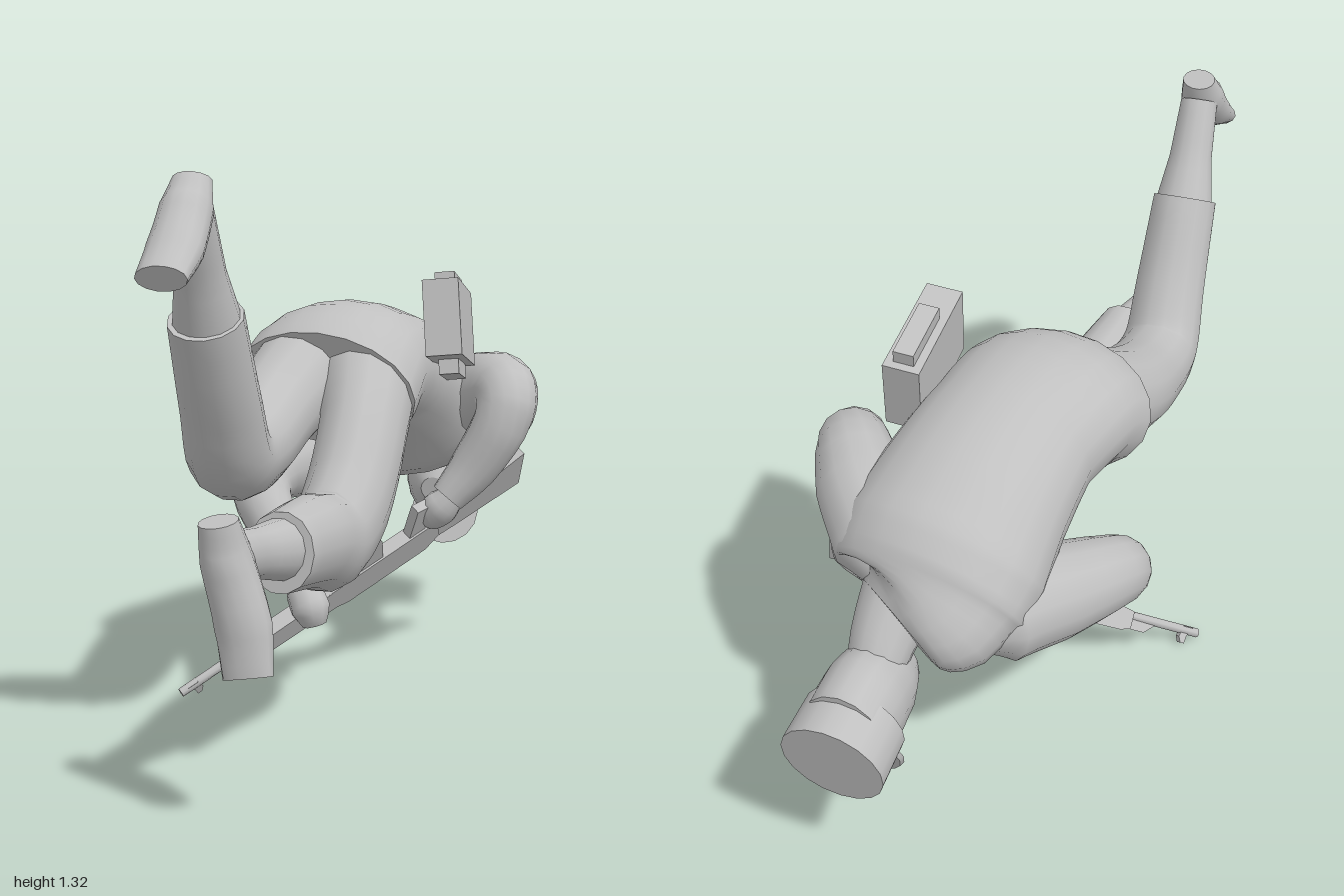
import * as THREE from 'three';

const grey = new THREE.MeshStandardMaterial({ color: 0xc0c0c0 });
grey.name = 'plain grey';

// Lofts elliptical rings along a smooth path; each row is [x, y, z, radiusA, radiusB].
// radiusA is measured along the ref direction, radiusB across it.
function loft(name, rows, ref = [1, 0, 0], sides = 14, steps = 4) {
  const path = new THREE.CatmullRomCurve3(rows.map(r => new THREE.Vector3(r[0], r[1], r[2])));
  const n = (rows.length - 1) * steps;
  const pos = [], index = [];
  const ring = i => {
    const t = i / n, k = Math.min(Math.floor(i / steps), rows.length - 2), f = i / steps - k;
    const p = path.getPoint(t), tan = path.getTangent(t);
    const a = new THREE.Vector3(...ref);
    a.addScaledVector(tan, -a.dot(tan)).normalize();
    const b = new THREE.Vector3().crossVectors(tan, a);
    const rad = r => [r[3], r[4] ?? r[3]];
    const [a0, b0] = rad(rows[k]), [a1, b1] = rad(rows[k + 1]);
    const ra = THREE.MathUtils.lerp(a0, a1, f), rb = THREE.MathUtils.lerp(b0, b1, f);
    for (let j = 0; j < sides; j++) {
      const q = j / sides * Math.PI * 2;
      const v = p.clone().addScaledVector(a, Math.cos(q) * ra).addScaledVector(b, Math.sin(q) * rb);
      pos.push(v.x, v.y, v.z);
    }
    return p;
  };
  for (let i = 0; i <= n; i++) ring(i);
  for (let i = 0; i < n; i++) for (let j = 0; j < sides; j++) {
    const A = i * sides + j, B = i * sides + (j + 1) % sides;
    index.push(A, B, A + sides, B, B + sides, A + sides);
  }
  // flat end caps with their own corners
  for (const i of [0, n]) {
    const s = pos.length / 3, p = ring(i), c = pos.length / 3;
    pos.push(p.x, p.y, p.z);
    for (let j = 0; j < sides; j++) {
      const A = s + j, B = s + (j + 1) % sides;
      if (i) index.push(c, A, B); else index.push(c, B, A);
    }
  }
  const g = new THREE.BufferGeometry();
  g.setAttribute('position', new THREE.Float32BufferAttribute(pos, 3));
  g.setIndex(index);
  g.computeVertexNormals();
  return part(name, g);
}

function part(name, geometry) {
  const m = new THREE.Mesh(geometry, grey);
  m.name = name;
  return m;
}

function box(name, w, h, d, x, y, z) {
  const m = part(name, new THREE.BoxGeometry(w, h, d));
  m.position.set(x, y, z);
  return m;
}

// Flat profile of [along, across] points, extruded about its middle
function plate(name, points, depth) {
  const shape = new THREE.Shape(points.map(p => new THREE.Vector2(...p)));
  const g = new THREE.ExtrudeGeometry(shape, { depth, bevelEnabled: false });
  return part(name, g.translate(0, 0, -depth / 2));
}

function makeRifle() {
  const rifle = new THREE.Group();
  rifle.name = 'rifle';
  const barrel = part('barrel', new THREE.CylinderGeometry(0.012, 0.012, 0.36, 8).rotateZ(Math.PI / 2));
  barrel.position.x = 0.18;
  const magazine = [[0.55, 0], [0.625, 0], [0.637, 0.08], [0.602, 0.17], [0.503, 0.25], [0.474, 0.206], [0.54, 0.14], [0.56, 0.08]];
  rifle.add(
    barrel,
    plate('frontSight', [[0.02, 0.01], [0.05, 0.01], [0.058, -0.02], [0.05, -0.036], [0.038, -0.036], [0.035, -0.015]], 0.016),
    plate('gasTube', [[0.14, -0.01], [0.17, -0.035], [0.34, -0.035], [0.34, -0.005]], 0.018),
    plate('handguard', [[0.22, -0.034], [0.25, -0.042], [0.46, -0.045], [0.46, 0.02], [0.25, 0.018], [0.22, 0.012]], 0.045),
    plate('receiver', [[0.45, -0.045], [0.5, -0.058], [0.75, -0.058], [0.8, -0.035], [0.8, 0.02], [0.45, 0.02]], 0.042),
    plate('magazine', magazine, 0.03),
    plate('pistolGrip', [[0.71, 0.01], [0.76, 0.01], [0.8, 0.09], [0.755, 0.1]], 0.03),
    plate('stock', [[0.78, -0.04], [0.86, -0.045], [1.07, -0.05], [1.1, 0.055], [0.9, 0.03], [0.78, 0.02]], 0.036)
  );
  // lies diagonally under the body, magazine side turned up towards the feet
  const along = new THREE.Vector3(0.712, 0.478, -0.514).normalize();
  const across = new THREE.Vector3(0, 0.73, 0.68);
  across.addScaledVector(along, -across.dot(along)).normalize();
  const m = new THREE.Matrix4().makeBasis(along, across, new THREE.Vector3().crossVectors(along, across));
  rifle.quaternion.setFromRotationMatrix(m);
  rifle.position.set(-0.415, 0.02, 0.13);
  return rifle;
}

function makePouch() {
  const pouch = new THREE.Group();
  pouch.name = 'pouch';
  pouch.add(
    box('pouchBody', 0.09, 0.19, 0.285, 0, 0, 0),
    box('pouchRoll', 0.05, 0.035, 0.165, 0, 0.11, -0.04),
    box('pouchStrap', 0.05, 0.045, 0.15, 0, -0.11, -0.02)
  );
  pouch.position.set(0.21, 0.94, -0.18);
  pouch.rotation.set(-0.22, 0.04, 0.1);
  return pouch;
}

function makeCap() {
  const cap = new THREE.Group();
  cap.name = 'cap';
  const crown = part('capCrown', new THREE.CylinderGeometry(0.122, 0.119, 0.12, 18));
  // peak shades the downward face
  const peak = part('capPeak', new THREE.CylinderGeometry(0.095, 0.1, 0.012, 16));
  peak.position.set(0, -0.06, 0.105);
  peak.rotation.x = 0.2;
  cap.add(crown, peak);
  const up = new THREE.Vector3(0, -0.21, -0.978).normalize();
  const front = new THREE.Vector3(0, -0.978, 0.21).normalize();
  const m = new THREE.Matrix4().makeBasis(new THREE.Vector3().crossVectors(up, front), up, front);
  cap.quaternion.setFromRotationMatrix(m);
  cap.position.set(0.09, 0.407, -0.915);
  return cap;
}

export function createModel() {
  const model = new THREE.Group();
  model.name = 'crouchingSoldier';
  const leftRef = [1, 0, -1], rightRef = [1, 0, 0.5];

  // jacket from hem to collar
  model.add(loft('jacket', [
    [-0.075, 0.785, -0.015, 0.24, 0.165], [-0.06, 0.825, -0.1, 0.235, 0.172], [-0.03, 0.81, -0.24, 0.22, 0.175],
    [-0.005, 0.75, -0.4, 0.235, 0.19], [0.015, 0.675, -0.53, 0.255, 0.2], [0.025, 0.63, -0.6, 0.245, 0.175],
    [0.035, 0.6, -0.65, 0.21, 0.135], [0.06, 0.58, -0.685, 0.13, 0.085]
  ], [1, 0, 0], 20));

  // neck and head, face turned down
  model.add(loft('neck', [[0.07, 0.61, -0.62, 0.1], [0.085, 0.55, -0.69, 0.08], [0.09, 0.48, -0.75, 0.065]]));
  model.add(loft('head', [
    [0.09, 0.42, -0.635, 0.035, 0.035], [0.09, 0.425, -0.67, 0.07, 0.085], [0.09, 0.43, -0.73, 0.092, 0.115],
    [0.09, 0.435, -0.81, 0.102, 0.128], [0.09, 0.425, -0.91, 0.1, 0.12]
  ], [1, 0, 0], 16));
  model.add(makeCap());

  // trousers
  model.add(loft('rightTrouser', [
    [-0.13, 0.84, -0.08, 0.13], [-0.175, 0.745, 0.12, 0.115, 0.115], [-0.18, 0.69, 0.31, 0.105, 0.105],
    [-0.18, 0.695, 0.44, 0.1, 0.1], [-0.17, 0.82, 0.54, 0.092, 0.09], [-0.165, 1.025, 0.655, 0.083, 0.085]
  ]));
  model.add(loft('leftTrouser', [
    [0.02, 0.85, -0.1, 0.13], [0.045, 0.7, 0.08, 0.108, 0.13], [0.04, 0.55, 0.24, 0.105, 0.125],
    [0.025, 0.49, 0.35, 0.1, 0.118], [0.02, 0.52, 0.5, 0.095, 0.105], [0.01, 0.542, 0.715, 0.075, 0.088]
  ]));

  // boots: shafts, then feet from heel to toe
  model.add(loft('rightBootShaft', [[-0.165, 1, 0.64, 0.078], [-0.16, 1.12, 0.705, 0.056], [-0.155, 1.25, 0.775, 0.048]]));
  model.add(loft('rightFoot', [
    [-0.155, 1.315, 0.76, 0.042, 0.03], [-0.155, 1.255, 0.8, 0.056, 0.054],
    [-0.15, 1.18, 0.89, 0.06, 0.046], [-0.15, 1.13, 0.975, 0.054, 0.03]
  ]));
  model.add(loft('leftBootShaft', [[0.01, 0.545, 0.69, 0.062, 0.07], [-0.015, 0.565, 0.82, 0.044, 0.054], [-0.03, 0.585, 0.95, 0.042, 0.052]]));
  model.add(loft('leftFoot', [
    [-0.045, 0.66, 0.965, 0.042, 0.034], [-0.035, 0.58, 0.945, 0.054, 0.055],
    [0, 0.45, 0.953, 0.06, 0.047], [0.015, 0.35, 0.975, 0.052, 0.025]
  ]));

  // sleeves and hands
  model.add(loft('leftSleeve', [
    [0.1, 0.65, -0.62, 0.06], [0.15, 0.685, -0.56, 0.115], [0.25, 0.73, -0.45, 0.11], [0.335, 0.757, -0.325, 0.085],
    [0.342, 0.7, -0.275, 0.077], [0.265, 0.56, -0.26, 0.064], [0.2, 0.48, -0.235, 0.046]
  ], leftRef));
  model.add(loft('rightSleeve', [
    [-0.08, 0.57, -0.63, 0.07], [-0.13, 0.575, -0.56, 0.125], [-0.215, 0.55, -0.43, 0.115], [-0.295, 0.52, -0.29, 0.09],
    [-0.3, 0.48, -0.22, 0.08], [-0.22, 0.36, -0.14, 0.064], [-0.155, 0.275, -0.085, 0.044]
  ], rightRef));
  model.add(loft('leftHand', [
    [0.215, 0.49, -0.235, 0.034], [0.185, 0.455, -0.24, 0.048], [0.155, 0.435, -0.25, 0.046], [0.12, 0.43, -0.25, 0.026]
  ], [0, 0, 1], 10));
  model.add(loft('rightHand', [
    [-0.165, 0.285, -0.09, 0.034], [-0.14, 0.245, -0.06, 0.048], [-0.12, 0.21, -0.045, 0.052], [-0.11, 0.17, -0.045, 0.032]
  ], [1, 0, 0], 10));

  model.add(makePouch(), makeRifle());
  return model;
}
